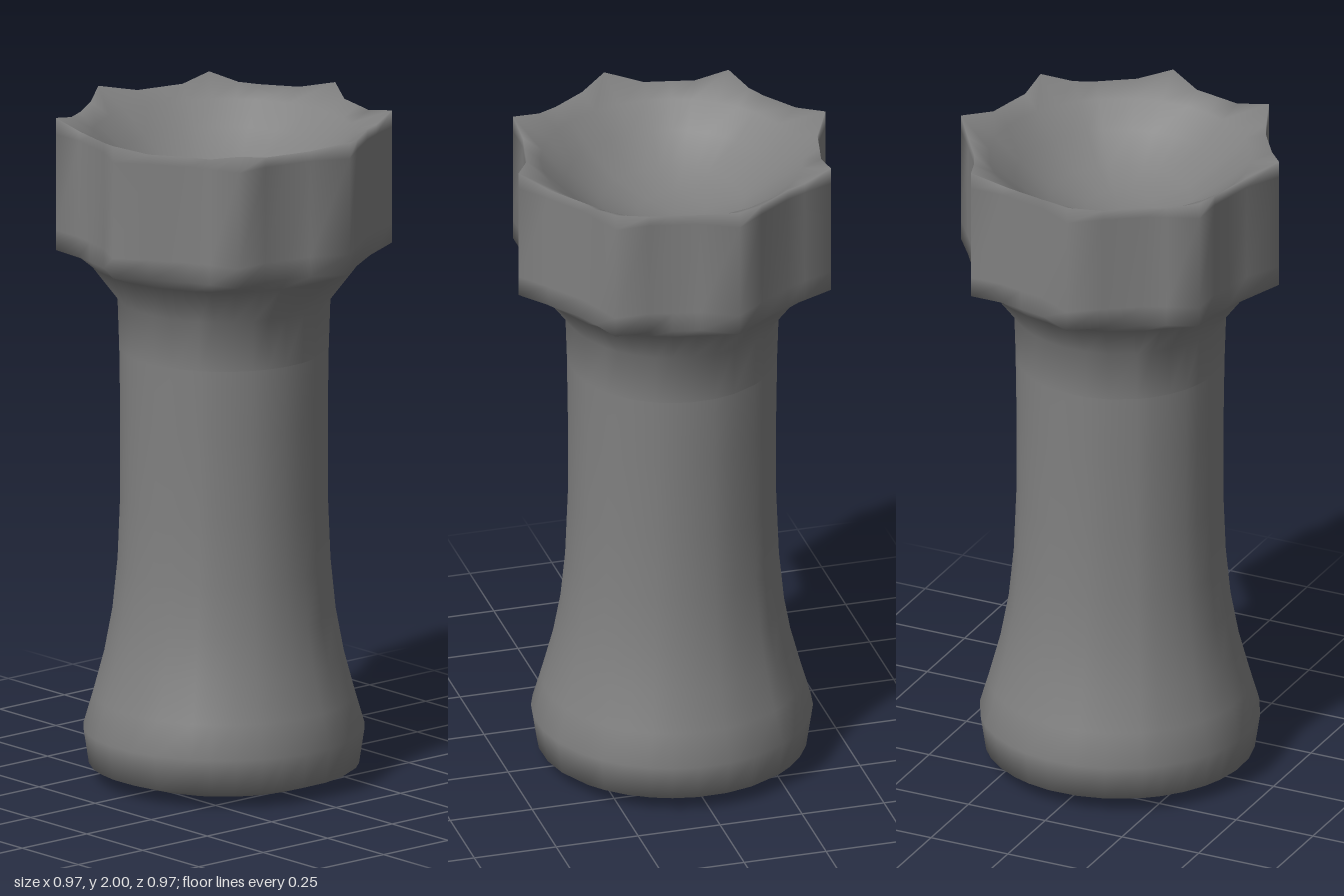
import * as THREE from 'three';

// One quarter of the star-shaped crown outline as [x, z]; it repeats four times.
const QUARTER = [
  [0.487, -0.064], [0.432, 0.04], [0.415, 0.12], [0.40, 0.187],
  [0.40, 0.29], [0.31, 0.325], [0.25, 0.353], [0.15, 0.422],
];
const OUTLINE = [];
for (let q = 0; q < 4; q++) {
  for (const [x, z] of QUARTER) {
    const a = Math.atan2(z, x) + q * Math.PI / 2;
    const r = Math.hypot(x, z);
    // tip is 1 at the spike points, 0 in the hollows between them
    OUTLINE.push({ a, r, tip: r > 0.47 ? 1 : 0 });
  }
}

// Round cross-section
const round = (r, y) => OUTLINE.map(({ a }) => [r * Math.cos(a), y, r * Math.sin(a)]);
// Star cross-section; the spike points rise by lift
const star = (y, lift = 0) => OUTLINE.map(({ a, r, tip }) =>
  [r * Math.cos(a), y + lift * tip, r * Math.sin(a)]);

// Skin a stack of rings with smooth normals, optionally closing an end with a centre point
function skin(rings, { startY = null, endY = null }) {
  const n = OUTLINE.length;
  const pos = rings.flat(2);
  const index = [];
  for (let i = 0; i < rings.length - 1; i++) {
    for (let j = 0; j < n; j++) {
      const k = (j + 1) % n;
      const a = i * n + j, b = i * n + k, c = a + n, d = b + n;
      index.push(a, c, b, b, c, d);
    }
  }
  const cap = (y, first, up) => {
    const centre = pos.length / 3;
    pos.push(0, y, 0);
    for (let j = 0; j < n; j++) {
      const a = first + j, b = first + (j + 1) % n;
      if (up) index.push(centre, b, a);
      else index.push(centre, a, b);
    }
  };
  if (startY !== null) cap(startY, 0, false);
  if (endY !== null) cap(endY, (rings.length - 1) * n, true);
  const g = new THREE.BufferGeometry();
  g.setAttribute('position', new THREE.Float32BufferAttribute(pos, 3));
  g.setIndex(index);
  g.computeVertexNormals();
  return g;
}

export function createModel() {
  const group = new THREE.Group();
  const material = new THREE.MeshStandardMaterial({ color: 0x808080 });
  const add = (name, geometry) => {
    const mesh = new THREE.Mesh(geometry, material);
    mesh.name = name;
    group.add(mesh);
  };

  // Flared base and slim shaft
  const profile = [
    [0.30, 0.012], [0.397, 0.045], [0.413, 0.15], [0.384, 0.25], [0.352, 0.37],
    [0.328, 0.5], [0.313, 0.65], [0.305, 0.85], [0.305, 1.1], [0.308, 1.3],
  ];
  add('column', skin(profile.map(([r, y]) => round(r, y)), { startY: 0 }));

  // Spiked crown: flaring neck, upright star wall, thin rim and shallow round bowl
  add('crown', skin([
    round(0.308, 1.3), round(0.313, 1.45), round(0.40, 1.565),
    star(1.6), star(1.66), star(1.95), star(1.98, 0.02),
    round(0.385, 1.945), round(0.31, 1.88), round(0.21, 1.81), round(0.1, 1.78),
  ], { endY: 1.77 }));

  return group;
}
